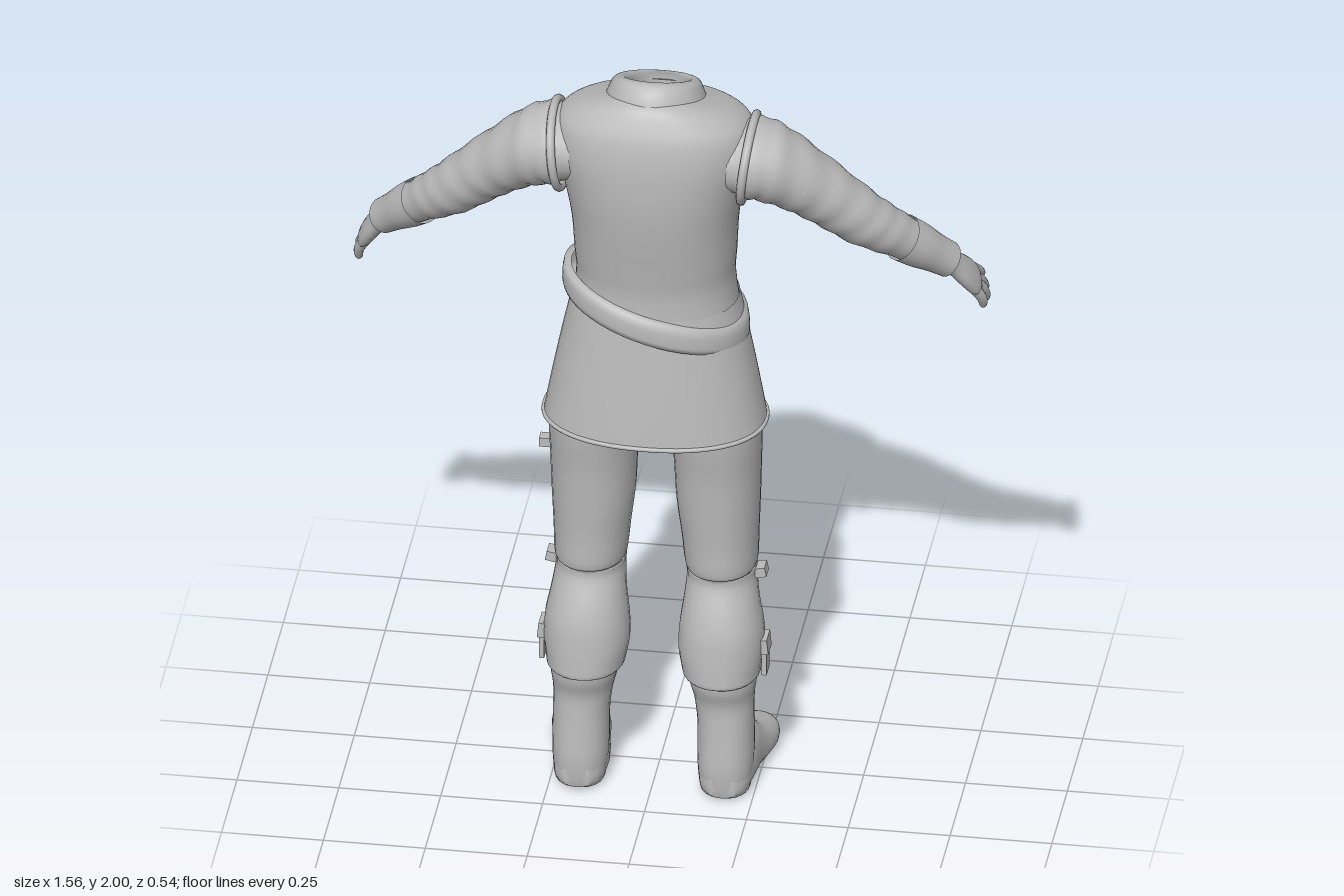
import * as THREE from 'three';

const V = (x, y, z) => new THREE.Vector3(x, y, z);

// Catmull-Rom resampling of number rows, k steps per span
function smooth(rows, k = 4) {
  const out = [], at = i => rows[Math.min(rows.length - 1, Math.max(0, i))];
  for (let i = 0; i < rows.length - 1; i++) {
    for (let s = 0; s < k; s++) {
      const t = s / k, [a, b, c, d] = [at(i - 1), at(i), at(i + 1), at(i + 2)];
      out.push(b.map((p, j) => p + 0.5 * t * (c[j] - a[j] + t * (2 * a[j] - 5 * p + 4 * c[j] - d[j] + t * (3 * (p - c[j]) + d[j] - a[j])))));
    }
  }
  out.push(rows[rows.length - 1]);
  return out;
}

// Skin over rings of points; closed rings wrap, caps close the ends
function loft(rings, { closed = true, caps = false } = {}) {
  const n = rings[0].length, pos = [], idx = [];
  rings.forEach(r => r.forEach(p => pos.push(p.x, p.y, p.z)));
  for (let i = 0; i < rings.length - 1; i++) {
    for (let j = 0; j < (closed ? n : n - 1); j++) {
      const a = i * n + j, b = i * n + (j + 1) % n;
      idx.push(a, b, a + n, b, b + n, a + n);
    }
  }
  if (caps) [0, rings.length - 1].forEach((ri, e) => {
    const c = rings[ri].reduce((s, p) => s.add(p), V(0, 0, 0)).divideScalar(n);
    const k = pos.push(c.x, c.y, c.z) / 3 - 1;
    for (let j = 0; j < n; j++) {
      const a = ri * n + j, b = ri * n + (j + 1) % n;
      if (e) idx.push(a, b, k);
      else idx.push(b, a, k);
    }
  });
  const g = new THREE.BufferGeometry();
  g.setAttribute('position', new THREE.Float32BufferAttribute(pos, 3));
  g.setIndex(idx);
  g.computeVertexNormals();
  return g;
}

const sgnPow = (v, p) => Math.sign(v) * Math.abs(v) ** p;

// Horizontal rings from rows [y, cx, cz, rx, rz, tilt], going down the body
const level = (rows, n = 40, p = 0.9) => rows.map(([y, cx, cz, rx, rz, tilt = 0]) =>
  Array.from({ length: n }, (_, j) => {
    const a = j / n * Math.PI * 2, s = sgnPow(Math.sin(a), p);
    return V(cx + rx * sgnPow(Math.cos(a), p), y + tilt * s, cz + rz * s);
  }));

// Rings across a path from rows [x, y, z, a, b]; ripple adds cloth creases
const across = (rows, n = 20, ripple = 0) => rows.map(([x, y, z, a, b], i) => {
  const p = rows[Math.max(0, i - 1)], q = rows[Math.min(rows.length - 1, i + 1)];
  const t = V(q[0] - p[0], q[1] - p[1], q[2] - p[2]).normalize();
  const u = V(0, 0, 1).cross(t).normalize(), v = t.clone().cross(u);
  return Array.from({ length: n }, (_, j) => {
    const w = j / n * Math.PI * 2, k = 1 + ripple * Math.sin(i * 1.5 + 2 * Math.sin(w + i * 0.2));
    return V(x, y, z).addScaledVector(u, a * k * Math.cos(w)).addScaledVector(v, b * k * Math.sin(w));
  });
});

export function createModel() {
  const cloth = new THREE.MeshStandardMaterial({ color: 0xbbbbbb, side: THREE.DoubleSide });
  cloth.name = 'grey cloth';
  const model = new THREE.Group();
  const add = (name, geo, parent = model) => {
    const m = new THREE.Mesh(geo, cloth);
    m.name = name;
    parent.add(m);
    return m;
  };
  const box = (name, parent, size, at, rot = [0, 0, 0]) => {
    const m = add(name, new THREE.BoxGeometry(...size), parent);
    m.position.set(...at);
    m.rotation.set(...rot);
  };
  const tube = (name, pts, r, parent, closed = false) =>
    add(name, new THREE.TubeGeometry(new THREE.CatmullRomCurve3(pts, closed), pts.length * 3, r, 8, closed), parent);

  // Vest, with the front at -z
  add('vest', loft(level(smooth([
    [1.925, 0, 0.06, 0.11, 0.125, 0.04], [1.918, 0, 0.068, 0.15, 0.138, 0.034], [1.9, 0, 0.075, 0.2, 0.15, 0.022],
    [1.865, 0, 0.08, 0.238, 0.165, 0.01], [1.8, 0, 0.077, 0.245, 0.18, 0], [1.7, 0, 0.075, 0.222, 0.182, 0],
    [1.6, 0, 0.07, 0.204, 0.176, 0], [1.5, 0, 0.063, 0.198, 0.167, 0], [1.42, 0, 0.06, 0.194, 0.16, 0],
    [1.3, 0, 0.06, 0.21, 0.165, 0]]), 56)));

  // Stand collar, tall at the nape and rolled into the neck opening
  add('collar', loft(level(smooth([
    [1.912, 0, 0.06, 0.125, 0.138, 0.042], [1.935, 0, 0.055, 0.115, 0.13, 0.044], [1.95, 0, 0.047, 0.107, 0.12, 0.046],
    [1.955, 0, 0.04, 0.095, 0.11, 0.046], [1.948, 0, 0.03, 0.08, 0.1, 0.044], [1.92, 0, 0.018, 0.069, 0.09, 0.035],
    [1.84, 0, 0.02, 0.066, 0.085, 0.01]], 3), 40, 1)));

  // Front closure: overlapping edge and a row of tied toggles
  const frontZ = y => y > 1.8 ? -0.106 + (y - 1.8) * 0.3 : -0.108;
  tube('frontEdge', [1.88, 1.8, 1.68, 1.56, 1.45, 1.34].map(y => V(0.012, y, frontZ(y) + 0.003)), 0.009);
  for (let i = 0; i < 7; i++) {
    const y = 1.83 - i * 0.07;
    for (const s of [-1, 1]) {
      const m = add('toggle', new THREE.ConeGeometry(0.014, 0.055, 8));
      m.position.set(s * 0.026, y, frontZ(y) + 0.001);
      m.rotation.z = s * 1.9;
      m.scale.z = 0.6;
    }
  }

  // Belt slung lower on the left side
  const beltRing = (off, grow) => Array.from({ length: 48 }, (_, j) => {
    const a = j / 48 * Math.PI * 2, x = (0.207 + grow) * Math.cos(a);
    return V(x, 1.35 - 0.28 * x + off, 0.06 + (0.164 + grow) * Math.sin(a));
  });
  add('belt', loft([[0.034, 0], [0.032, 0.017], [0.01, 0.021], [-0.02, 0.022], [-0.034, 0.018], [-0.036, 0]].map(r => beltRing(...r))));
  const buckle = add('beltBuckle', new THREE.TorusGeometry(0.033, 0.008, 8, 20));
  buckle.position.set(0.02, 1.34, -0.126);
  buckle.scale.x = 1.2;
  box('beltTongue', model, [0.09, 0.04, 0.012], [-0.04, 1.36, -0.125], [0, 0, -0.25]);
  for (const x of [-0.12, 0.11]) box('beltLoop', model, [0.025, 0.078, 0.016], [x, 1.35 - 0.28 * x, -0.095], [0, -x * 4, -0.25]);

  // Tunic skirt, split at the front with rounded corners
  const skirtPoint = (u, t) => {
    const gap = 0.03 + 0.13 * t, a = -Math.PI / 2 + gap + u * (Math.PI * 2 - 2 * gap);
    const d = THREE.MathUtils.clamp(Math.min(u, 1 - u) / 0.06, 0, 1);
    const lift = 0.075 * (1 - Math.sqrt(d * (2 - d))), f = t - 0.12 * t * t;
    return V((0.203 + 0.078 * f) * sgnPow(Math.cos(a), 0.9), 1.37 - 0.34 * t + lift * t,
      0.06 + 0.01 * t + (0.162 + 0.03 * f) * sgnPow(Math.sin(a), 0.9));
  };
  const us = Array.from({ length: 81 }, (_, i) => i / 80 - Math.sin(i / 40 * Math.PI) * 0.12);
  add('skirt', loft(Array.from({ length: 13 }, (_, i) => us.map(u => skirtPoint(u, i / 12))), { closed: false }));
  tube('skirtHem', [...[0.2, 0.5, 0.8].map(t => skirtPoint(0, t)), ...us.map(u => skirtPoint(u, 1)),
    ...[0.8, 0.5, 0.2].map(t => skirtPoint(1, t))], 0.006);

  // Hips beneath the skirt
  add('hips', loft(level(smooth([[1.32, 0, 0.06, 0.19, 0.14], [1.2, 0, 0.07, 0.22, 0.145], [1.1, 0, 0.07, 0.2, 0.125],
    [1.05, 0, 0.07, 0.12, 0.09], [1.035, 0, 0.07, 0.03, 0.03]], 3)), { caps: true }));

  for (const side of [1, -1]) {
    // Sleeve, armhole seam, cuff and hand
    const arm = new THREE.Group();
    arm.name = side > 0 ? 'leftArm' : 'rightArm';
    arm.scale.x = side;
    model.add(arm);
    add('sleeve', loft(across(smooth([[0.19, 1.79, 0.1, 0.085, 0.1], [0.245, 1.785, 0.098, 0.099, 0.112], [0.29, 1.765, 0.088, 0.094, 0.106],
      [0.36, 1.715, 0.068, 0.082, 0.09], [0.43, 1.655, 0.046, 0.075, 0.076], [0.5, 1.59, 0.02, 0.068, 0.068],
      [0.56, 1.54, -0.012, 0.058, 0.06], [0.61, 1.495, -0.045, 0.05, 0.05]], 5), 24, 0.025)), arm);
    tube('armholeSeam', Array.from({ length: 16 }, (_, i) => {
      const a = i / 16 * Math.PI * 2;
      return V(0.233 + 0.012 * Math.sin(a), 1.782 + 0.105 * Math.sin(a), 0.098 + 0.116 * Math.cos(a));
    }), 0.011, arm, true);
    add('cuff', loft(across(smooth([[0.59, 1.513, -0.03, 0.058, 0.06], [0.625, 1.48, -0.055, 0.055, 0.057],
      [0.66, 1.447, -0.08, 0.047, 0.05], [0.692, 1.417, -0.103, 0.043, 0.047]]), 24)), arm);
    add('palm', loft(across(smooth([[0.675, 1.432, -0.092, 0.03, 0.032], [0.7, 1.4, -0.118, 0.025, 0.034],
      [0.723, 1.364, -0.145, 0.024, 0.044], [0.742, 1.328, -0.172, 0.021, 0.047], [0.752, 1.308, -0.186, 0.012, 0.036]], 3), 16), { caps: true }), arm);
    const fingers = [
      ['indexFinger', [0.734, 1.342, -0.2], [0.746, 1.312, -0.235], [0.75, 1.288, -0.265]],
      ['middleFinger', [0.742, 1.33, -0.185], [0.758, 1.29, -0.22], [0.762, 1.26, -0.248]],
      ['ringFinger', [0.746, 1.32, -0.17], [0.765, 1.28, -0.2], [0.768, 1.246, -0.22]],
      ['littleFinger', [0.745, 1.315, -0.15], [0.764, 1.278, -0.168], [0.766, 1.248, -0.182]],
      ['thumb', [0.7, 1.385, -0.135], [0.69, 1.355, -0.19], [0.684, 1.325, -0.238]]];
    for (const [name, a, b, c] of fingers) {
      const end = c.map((v, i) => v + (v - b[i]) * 0.12);
      add(name, loft(across(smooth([[...a, 0.014, 0.014], [...b, 0.013, 0.013], [...c, 0.009, 0.009], [...end, 0.002, 0.002]], 3), 10), { caps: true }), arm);
    }

    // Trouser leg, folded boot cuff, boot and straps
    const leg = new THREE.Group();
    leg.name = side > 0 ? 'leftLeg' : 'rightLeg';
    leg.scale.x = side;
    model.add(leg);
    add('trouserLeg', loft(level(smooth([[1.22, 0.125, 0.07, 0.1, 0.13], [1.1, 0.142, 0.07, 0.112, 0.133], [1, 0.15, 0.067, 0.11, 0.131],
      [0.9, 0.152, 0.06, 0.106, 0.124], [0.8, 0.153, 0.056, 0.102, 0.12], [0.7, 0.157, 0.053, 0.094, 0.115],
      [0.62, 0.16, 0.053, 0.088, 0.112], [0.6, 0.16, 0.052, 0.078, 0.096], [0.5, 0.16, 0.06, 0.07, 0.08]]), 28, 0.95)), leg);
    add('bootTop', loft(level(smooth([[0.6, 0.16, 0.05, 0.078, 0.09], [0.605, 0.16, 0.05, 0.086, 0.098], [0.58, 0.161, 0.053, 0.085, 0.096],
      [0.52, 0.163, 0.075, 0.092, 0.1], [0.46, 0.165, 0.085, 0.102, 0.108], [0.4, 0.165, 0.088, 0.105, 0.112],
      [0.35, 0.166, 0.092, 0.098, 0.112], [0.328, 0.167, 0.095, 0.092, 0.108], [0.335, 0.168, 0.095, 0.07, 0.085]], 3), 28, 0.95)), leg);
    add('bootShaft', loft(level(smooth([[0.36, 0.168, 0.094, 0.085, 0.098], [0.31, 0.17, 0.095, 0.082, 0.095], [0.26, 0.173, 0.095, 0.073, 0.08],
      [0.2, 0.177, 0.098, 0.069, 0.078], [0.14, 0.178, 0.098, 0.069, 0.083], [0.08, 0.178, 0.105, 0.068, 0.08],
      [0.02, 0.178, 0.11, 0.062, 0.07], [0.006, 0.178, 0.11, 0.055, 0.06]]), 28), { caps: true }), leg);
    // Foot sections: z, centre x, half width, sole y, top y
    const foot = smooth([[0.18, 0.178, 0.03, 0.012, 0.08], [0.15, 0.178, 0.058, 0.002, 0.13], [0.08, 0.18, 0.07, 0, 0.17], [0.02, 0.187, 0.069, 0, 0.165],
      [-0.03, 0.196, 0.071, 0.002, 0.122], [-0.09, 0.205, 0.073, 0.008, 0.09], [-0.14, 0.21, 0.062, 0.016, 0.07],
      [-0.178, 0.214, 0.036, 0.024, 0.052], [-0.195, 0.215, 0.006, 0.03, 0.038]], 3);
    add('foot', loft(foot.map(([z, cx, w, y0, y1]) => Array.from({ length: 24 }, (_, j) => {
      const a = -j / 24 * Math.PI * 2, s = Math.sin(a), yc = y0 + (y1 - y0) * 0.35;
      return V(cx + w * sgnPow(Math.cos(a), 0.85), s > 0 ? yc + (y1 - yc) * s : yc + (yc - y0) * sgnPow(s, 0.6), z);
    })), { caps: true }), leg);
    box('bootStrap', leg, [0.012, 0.1, 0.045], [0.273, 0.38, 0.092]);
    box('bootBuckle', leg, [0.02, 0.04, 0.055], [0.272, 0.41, 0.092], [0, 0, 0.1]);
    box('kneeStrap', leg, [0.04, 0.025, 0.04], [0.25, 0.59, 0.05], [0, 0, 0.2]);
    if (side < 0) box('thighStrap', leg, [0.04, 0.024, 0.03], [0.267, 0.91, 0.05]);
  }
  return model;
}
